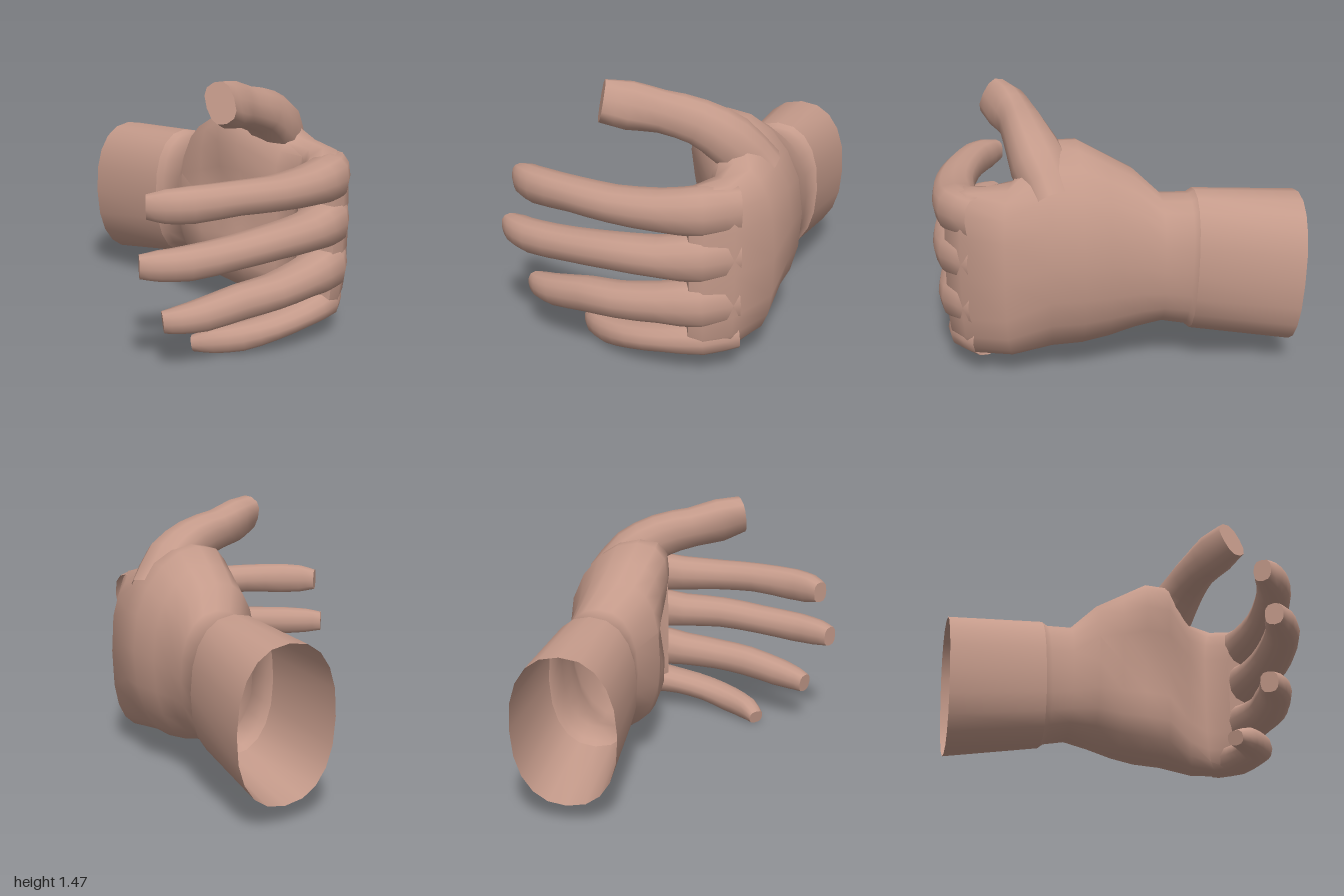
import * as THREE from 'three';
import { toCreasedNormals } from 'three/addons/utils/BufferGeometryUtils.js';

const skin = new THREE.MeshStandardMaterial({ color: 0xc49a8a, side: THREE.DoubleSide });

// Skin a list of equal-sized rings; optionally close the last one
function loft(name, rings, capEnd) {
  const n = rings[0].length;
  const pos = rings.flat().flatMap((p) => [p.x, p.y, p.z]);
  const idx = [];
  for (let i = 0; i < rings.length - 1; i++) {
    for (let j = 0; j < n; j++) {
      const k = (j + 1) % n;
      const a = i * n + j, b = i * n + k, c = a + n, d = b + n;
      idx.push(a, b, d, a, d, c);
    }
  }
  if (capEnd) {
    const last = rings[rings.length - 1];
    const mid = last.reduce((s, p) => s.add(p), new THREE.Vector3()).divideScalar(n);
    pos.push(mid.x, mid.y, mid.z);
    const base = (rings.length - 1) * n;
    for (let j = 0; j < n; j++) idx.push(base + j, base + ((j + 1) % n), rings.length * n);
  }
  const geo = new THREE.BufferGeometry();
  geo.setAttribute('position', new THREE.Float32BufferAttribute(pos, 3));
  geo.setIndex(idx);
  const mesh = new THREE.Mesh(toCreasedNormals(geo, 0.95), skin);
  mesh.name = name;
  return mesh;
}

const bulge = (v, e) => Math.sign(v) * Math.abs(v) ** (2 / e);

// Rounded section between a back point and a palm-side point (x, z);
// dent hollows the palm side, tilt slants the section, lean pushes its top forward
function handRing([xo, zo, xi, zi, lo, hi, e = 2.3, dent = 0, tilt = 0, lean = 0]) {
  const n = 20;
  return Array.from({ length: n }, (_, j) => {
    const a = (j / n) * Math.PI * 2;
    const s = bulge(Math.sin(a), e);
    let c = bulge(Math.cos(a), e);
    if (c < 0) c *= 1 - dent * (1 - Math.abs(s));
    return new THREE.Vector3(
      (xo + xi) / 2 + ((xo - xi) / 2) * c - tilt * s,
      (lo + hi) / 2 + ((hi - lo) / 2) * s,
      (zo + zi) / 2 + ((zo - zi) / 2) * c + lean * Math.max(s, 0) ** 2
    );
  });
}

// Tapering digit; each station is [x, y, z, half thickness, half height]
function digit(name, stations, roll = 0) {
  const n = 12;
  const curve = new THREE.CatmullRomCurve3(stations.map(([x, y, z]) => new THREE.Vector3(x, y, z)));
  const steps = (stations.length - 1) * 2;
  const rings = [];
  for (let i = 0; i <= steps; i++) {
    const u = i / steps;
    const p = curve.getPoint(u), t = curve.getTangent(u);
    const k = Math.min(Math.floor(i / 2), stations.length - 2), f = i / 2 - k;
    const [r, h] = [3, 4].map((q) => THREE.MathUtils.lerp(stations[k][q], stations[k + 1][q], f));
    const side = new THREE.Vector3(0, 1, 0).cross(t).normalize().applyAxisAngle(t, roll * u);
    const up = t.clone().cross(side);
    rings.push(Array.from({ length: n }, (_, j) => {
      const a = (j / n) * Math.PI * 2;
      return p.clone()
        .addScaledVector(side, r * bulge(Math.cos(a), 2.6))
        .addScaledVector(up, h * bulge(Math.sin(a), 2.6));
    }));
  }
  return loft(name, rings, true);
}

export function createModel() {
  const group = new THREE.Group();
  group.name = 'hand';

  // Open sleeve cuff
  const cuffEnd = [-0.41, -0.76, -0.41, -0.25, 0.2, 0.995, 2.3, 0, 0.015];
  group.add(loft('cuff', [
    [-0.98, -0.81, -0.98, -0.23, 0.11, 0.965, 2.3, 0, 0.02],
    cuffEnd,
  ].map(handRing), false));

  // Wrist, palm and bent knuckles
  group.add(loft('palm', [
    cuffEnd,
    [-0.385, -0.735, -0.37, -0.275, 0.225, 0.975, 2.3, 0, 0.015],
    [-0.24, -0.73, -0.24, -0.28, 0.25, 0.98],
    [-0.1, -0.73, -0.1, -0.18, 0.2, 1.1, 2.3, 0, 0, 0.03],
    [0.05, -0.75, 0.05, -0.16, 0.155, 1.18, 2.3, 0.2, 0, 0.06],
    [0.2, -0.8, 0.2, -0.14, 0.135, 1.26, 2.3, 0.35, 0, 0.1],
    [0.38, -0.785, 0.34, -0.16, 0.125, 1.26, 2.3, 0.35, 0, 0.1],
    [0.62, -0.75, 0.5, -0.34, 0.115, 1.08, 2.9, 0.15, 0, 0.04],
    [0.85, -0.6, 0.62, -0.39, 0.1, 1.055, 3.4],
    [0.93, -0.46, 0.69, -0.35, 0.1, 1.035, 3.6],
    [0.93, -0.38, 0.74, -0.29, 0.12, 1.01, 3.6],
  ].map(handRing), true));

  // Thumb, rolled towards the tip
  group.add(digit('thumb', [
    [0.34, 0.98, -0.59, 0.14, 0.14],
    [0.41, 1.15, -0.44, 0.15, 0.145],
    [0.46, 1.25, -0.28, 0.125, 0.125],
    [0.5, 1.3, -0.09, 0.105, 0.115],
    [0.56, 1.335, 0.07, 0.1, 0.13],
    [0.62, 1.365, 0.2, 0.08, 0.115],
  ], 0.4));

  // Four curled fingers, widest where they join at the knuckles
  group.add(digit('indexFinger', [
    [0.74, 0.91, -0.58, 0.09, 0.12],
    [0.84, 0.91, -0.42, 0.125, 0.128],
    [0.868, 0.9, -0.2, 0.125, 0.103],
    [0.865, 0.9, 0.05, 0.115, 0.09],
    [0.82, 0.905, 0.28, 0.105, 0.087],
    [0.74, 0.895, 0.52, 0.095, 0.095],
    [0.67, 0.892, 0.63, 0.08, 0.088],
    [0.605, 0.89, 0.7, 0.052, 0.065],
  ]));
  group.add(digit('middleFinger', [
    [0.74, 0.66, -0.58, 0.09, 0.12],
    [0.845, 0.66, -0.42, 0.125, 0.13],
    [0.875, 0.645, -0.2, 0.125, 0.1],
    [0.875, 0.64, 0.05, 0.115, 0.09],
    [0.83, 0.62, 0.3, 0.105, 0.085],
    [0.76, 0.6, 0.56, 0.095, 0.087],
    [0.69, 0.597, 0.69, 0.08, 0.078],
    [0.63, 0.595, 0.77, 0.052, 0.062],
  ]));
  group.add(digit('ringFinger', [
    [0.74, 0.41, -0.58, 0.09, 0.12],
    [0.84, 0.4, -0.42, 0.125, 0.13],
    [0.86, 0.375, -0.2, 0.12, 0.1],
    [0.855, 0.35, 0.03, 0.11, 0.09],
    [0.81, 0.33, 0.23, 0.1, 0.09],
    [0.745, 0.29, 0.44, 0.09, 0.083],
    [0.69, 0.275, 0.55, 0.075, 0.07],
    [0.64, 0.265, 0.62, 0.05, 0.058],
  ]));
  group.add(digit('littleFinger', [
    [0.72, 0.2, -0.58, 0.09, 0.085],
    [0.805, 0.185, -0.42, 0.12, 0.088],
    [0.82, 0.155, -0.22, 0.11, 0.072],
    [0.79, 0.12, -0.03, 0.1, 0.07],
    [0.72, 0.085, 0.13, 0.085, 0.075],
    [0.63, 0.067, 0.25, 0.07, 0.067],
    [0.545, 0.045, 0.32, 0.048, 0.042],
  ]));

  return group;
}
